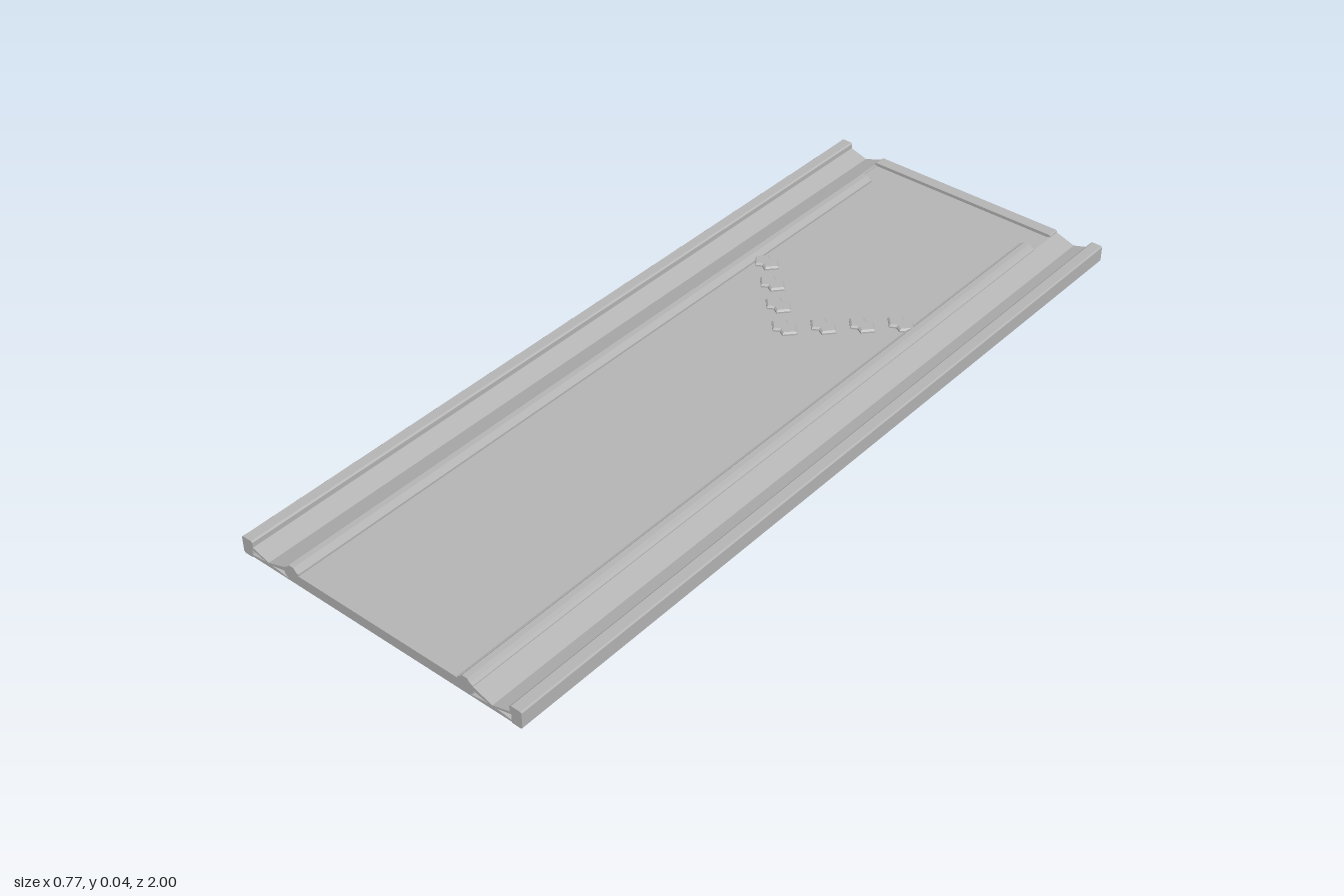
import * as THREE from 'three';

export function createModel() {
  const group = new THREE.Group();
  const grey = new THREE.MeshStandardMaterial({ color: 0xb4b4b4 });
  grey.name = 'plain grey';

  const add = (name, geometry) => {
    const mesh = new THREE.Mesh(geometry, grey);
    mesh.name = name;
    group.add(mesh);
    return mesh;
  };
  const outline = (points) => new THREE.Shape(points.map(([x, y]) => new THREE.Vector2(x, y)));

  // Extrude a front profile along z, from z0 to z1
  const bar = (name, points, z0 = -1, z1 = 1) => {
    const geometry = new THREE.ExtrudeGeometry(outline(points), { depth: z1 - z0, bevelEnabled: false });
    geometry.translate(0, 0, z0);
    return add(name, geometry);
  };
  const pair = (name, points, z0, z1) => {
    bar('left' + name, points, z0, z1);
    bar('right' + name, points.map(([x, y]) => [-x, y]), z0, z1);
  };

  // Central deck with chamfered lower edges
  bar('deck', [[-0.25, 0.003], [0.25, 0.003], [0.262, 0.015], [0.262, 0.025], [0.255, 0.029],
    [-0.255, 0.029], [-0.262, 0.025], [-0.262, 0.015]]);

  // Thin floor and inclined strips of each side channel
  pair('ChannelFloor', [[0.245, 0.003], [0.365, 0.003], [0.365, 0.007], [0.325, 0.012], [0.295, 0.012], [0.245, 0.005]]);
  pair('InnerSlope', [[0.255, 0.022], [0.31, 0.010], [0.31, 0.014], [0.26, 0.031], [0.255, 0.031]]);
  pair('OuterSlope', [[0.31, 0.010], [0.362, 0.023], [0.362, 0.030], [0.31, 0.014]]);

  // Upright outer edge
  pair('OuterRail', [[0.359, 0.001], [0.382, 0], [0.386, 0.004], [0.386, 0.041], [0.383, 0.044],
    [0.359, 0.044], [0.355, 0.041], [0.355, 0.029], [0.359, 0.025]]);

  // Raised guide with sloping sides
  pair('GuideRail', [[0.22, 0.028], [0.261, 0.028], [0.261, 0.033], [0.253, 0.036], [0.247, 0.044],
    [0.233, 0.044], [0.226, 0.036], [0.22, 0.034]], -0.9, 1);

  // Stop bar across the back end
  bar('endStop', [[-0.26, 0.027], [0.26, 0.027], [0.26, 0.034], [0.257, 0.037], [-0.257, 0.037], [-0.26, 0.034]],
    -1, -0.97);

  // Double-diamond studs arranged in a V
  const studShape = outline([[-0.032, 0], [-0.014, -0.02], [0, -0.012], [0.014, -0.02],
    [0.032, 0], [0.014, 0.02], [0, 0.012], [-0.014, 0.02]]);
  const studGeometry = new THREE.ExtrudeGeometry(studShape, {
    depth: 0.006, bevelThickness: 0.004, bevelSize: 0.004, bevelSegments: 1,
  });
  studGeometry.rotateX(-Math.PI / 2);
  for (let i = -3; i <= 3; i++) {
    add('stud', studGeometry).position.set(i * 0.065, 0.027, -0.27 - Math.abs(i) * 0.06);
  }

  return group;
}
